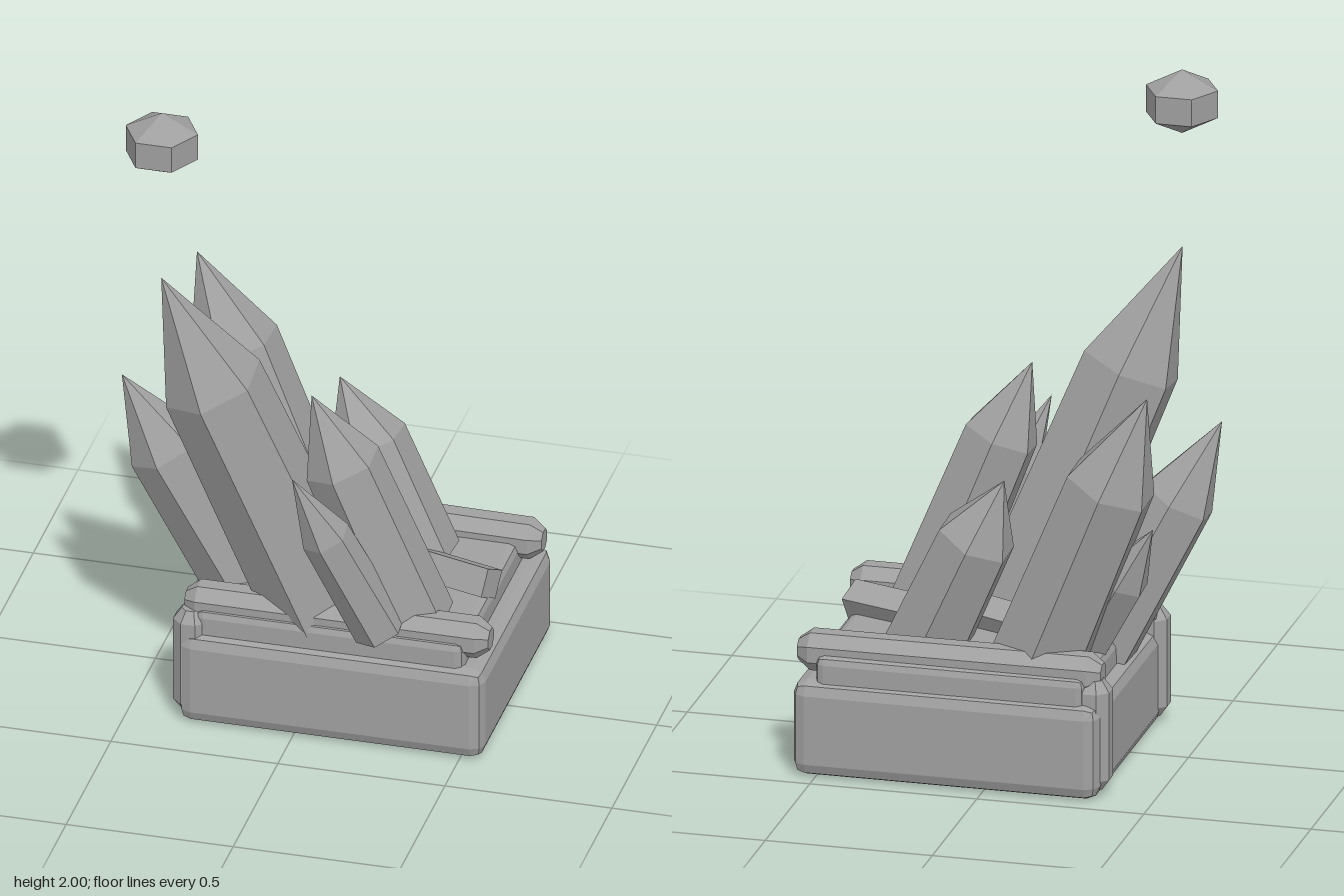
import * as THREE from 'three';
import { RoundedBoxGeometry } from 'three/addons/geometries/RoundedBoxGeometry.js';

const UP = new THREE.Vector3(0, 1, 0);

export function createModel() {
  const model = new THREE.Group();
  const stone = new THREE.MeshStandardMaterial({ color: 0xa0a0a0 });
  stone.name = 'greyStone';

  // Faceted mesh helper
  function add(name, geometry, parent = model) {
    const flat = geometry.index ? geometry.toNonIndexed() : geometry;
    flat.computeVertexNormals();
    const mesh = new THREE.Mesh(flat, stone);
    mesh.name = name;
    parent.add(mesh);
    return mesh;
  }

  // Chamfered block given by its min and max corners
  function block(name, min, max, chamfer) {
    const size = max.map((v, i) => v - min[i]);
    const mesh = add(name, new RoundedBoxGeometry(...size, 1, chamfer));
    mesh.position.set(...max.map((v, i) => (v + min[i]) / 2));
    return mesh;
  }

  // Turned solid running from one point to another; profile is [radius, distance]
  function spindle(name, from, to, profile, sides, roll = 0) {
    const a = new THREE.Vector3(...from);
    const dir = new THREE.Vector3(...to).sub(a).normalize();
    const points = profile.map(([r, d]) => new THREE.Vector2(r, d));
    const mesh = add(name, new THREE.LatheGeometry(points, sides, roll));
    mesh.position.copy(a);
    mesh.quaternion.setFromUnitVectors(UP, dir);
    return mesh;
  }

  const span = (a, b) => new THREE.Vector3(...a).distanceTo(new THREE.Vector3(...b));

  // Bar with chamfered ends
  function bar(name, from, to, r) {
    const l = span(from, to);
    const e = r * 0.6;
    spindle(name, from, to, [[0, 0], [r * 0.55, 0], [r, e], [r, l - e], [r * 0.55, l], [0, l]], 8, Math.PI / 8);
  }

  // Six-sided crystal with a pointed end
  function crystal(name, from, tip, r, shoulder = 0.68) {
    const l = span(from, tip);
    spindle(name, from, tip, [[0, 0], [r, 0], [r * 0.92, l * shoulder], [0, l]], 6);
  }

  // Plinth and the raised slab on it
  block('base', [-0.345, 0, -0.455], [0.57, 0.29, 0.345], 0.04);
  block('upperSlab', [-0.3, 0.2, -0.43], [0.505, 0.365, 0.315], 0.025);

  // Edge rails and corner posts
  bar('frontRail', [-0.34, 0.36, 0.245], [0.57, 0.36, 0.245], 0.062);
  bar('backRail', [-0.34, 0.365, -0.355], [0.57, 0.36, -0.35], 0.062);
  for (const [name, z] of [['frontPost', 0.28], ['backPost', -0.37]]) {
    bar(name, [-0.315, 0.02, z], [-0.315, 0.355, z], 0.056);
  }

  // Crystal cluster
  crystal('tallFrontCrystal', [0.04, 0.33, 0.15], [-0.4, 1.455, 0.31], 0.165);
  crystal('tallBackCrystal', [-0.1, 0.32, -0.24], [-0.455, 1.2, -0.295], 0.15);
  crystal('rightCrystal', [-0.22, 0.32, 0.02], [-0.57, 1.0, 0.115], 0.125, 0.65);
  crystal('leftFrontCrystal', [0.32, 0.34, 0.17], [0.03, 1.085, 0.235], 0.125, 0.7);
  crystal('leftBackCrystal', [0.24, 0.34, -0.18], [-0.01, 0.885, -0.23], 0.13, 0.65);
  crystal('smallBackCrystal', [-0.19, 0.32, -0.11], [-0.455, 0.775, -0.23], 0.085, 0.62);
  crystal('smallFrontCrystal', [0.25, 0.37, 0.29], [0.025, 0.915, 0.435], 0.08, 0.62);

  // Square shards lying on the slab
  const shards = [
    [[0.2, 0.39, -0.1], [0.505, 0.395, -0.005]],
    [[-0.15, 0.385, -0.13], [0.18, 0.4, -0.01]],
  ];
  for (const [from, to] of shards) {
    const l = span(from, to);
    spindle('shard', from, to, [[0, 0], [0.06, 0], [0.06, l], [0, l]], 4);
  }

  // Floating gem
  spindle('floatingGem', [-0.4, 1.805, 0.303], [-0.4, 2, 0.303],
    [[0, 0], [0.108, 0.056], [0.108, 0.139], [0, 0.195]], 6, Math.PI / 6);

  return model;
}
